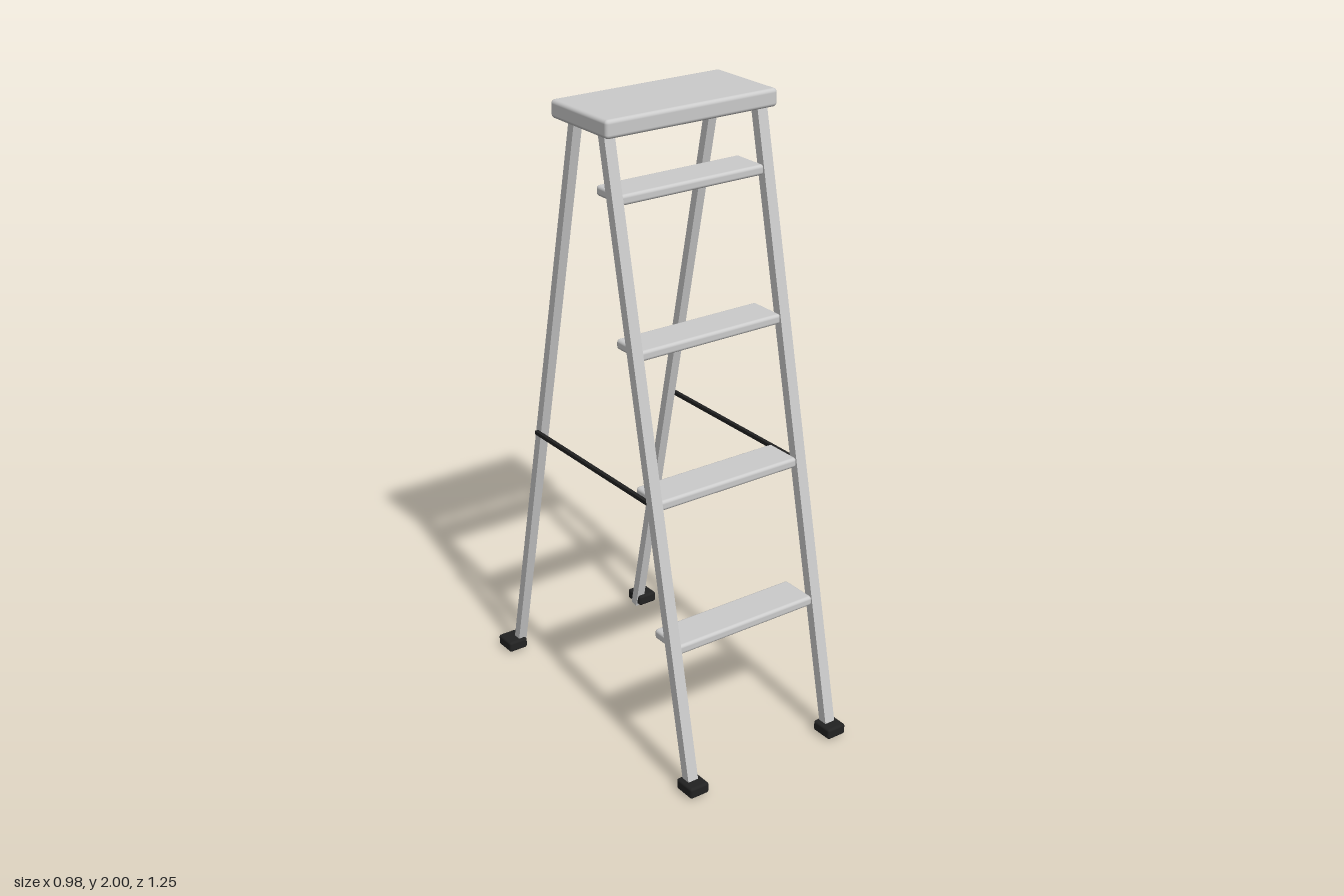
import * as THREE from 'three';
import { RoundedBoxGeometry } from 'three/addons/geometries/RoundedBoxGeometry.js';

const grey = new THREE.MeshStandardMaterial({ color: 0xcccccc });
const dark = new THREE.MeshStandardMaterial({ color: 0x222222 });

const FRONT_X = 0.268, REAR_X = 0.245, FOOT_X = 0.268;
const RAIL_TOP = 1.96, FOOT_Z = 0.51, TOP_Z = 0.09;

// Distance of a leaning rail from the middle at height y
const railZ = (y) => THREE.MathUtils.lerp(FOOT_Z, TOP_Z, y / RAIL_TOP);

export function createModel() {
  const ladder = new THREE.Group();
  ladder.name = 'stepladder';

  const add = (name, geometry, material, x, y, z) => {
    const mesh = new THREE.Mesh(geometry, material);
    mesh.name = name;
    mesh.position.set(x, y, z);
    ladder.add(mesh);
    return mesh;
  };

  // Top platform
  add('topPlatform', new RoundedBoxGeometry(0.6, 0.055, 0.285, 3, 0.012), grey, 0, 1.9725, 0);

  // Treads, their front edge just ahead of the front rails
  const tread = new RoundedBoxGeometry(0.51, 0.032, 0.128, 3, 0.01);
  for (let i = 0; i < 4; i++) {
    const y = 0.448 + i * 0.4385;
    add(`tread${i + 1}`, tread, grey, 0, y, railZ(y) + 0.012 - 0.064);
  }

  // Leaning rails with rubber feet, front and rear, both sides
  const length = Math.hypot(RAIL_TOP, FOOT_Z - TOP_Z) - 0.004;
  const lean = Math.atan2(FOOT_Z - TOP_Z, RAIL_TOP);
  const frontRail = new THREE.BoxGeometry(0.036, length, 0.03);
  const rearRail = new THREE.BoxGeometry(0.03, length, 0.027);
  const foot = new RoundedBoxGeometry(0.068, 0.036, 0.076, 3, 0.008);
  const spreader = new THREE.BoxGeometry(0.012, 0.012, 2 * railZ(0.885));

  for (const [side, sx] of [['left', 1], ['right', -1]]) {
    for (const [end, sz] of [['Front', 1], ['Rear', -1]]) {
      const x = sx * (sz > 0 ? FRONT_X : REAR_X);
      const rail = add(`${side}${end}Rail`, sz > 0 ? frontRail : rearRail, grey,
        x, RAIL_TOP / 2 + 0.004, sz * (FOOT_Z + TOP_Z) / 2);
      rail.rotation.x = -sz * lean;
      add(`${side}${end}Foot`, foot, dark, sx * FOOT_X, 0.028, sz * (FOOT_Z + 0.004));
    }
    // Spreader bar joining front and rear rails
    add(`${side}Spreader`, spreader, dark, sx * 0.268, 0.885, 0);
  }

  // The whole ladder stands turned on its vertical axis
  ladder.rotation.y = 0.394;
  const model = new THREE.Group();
  model.name = 'model';
  model.add(ladder);
  return model;
}
